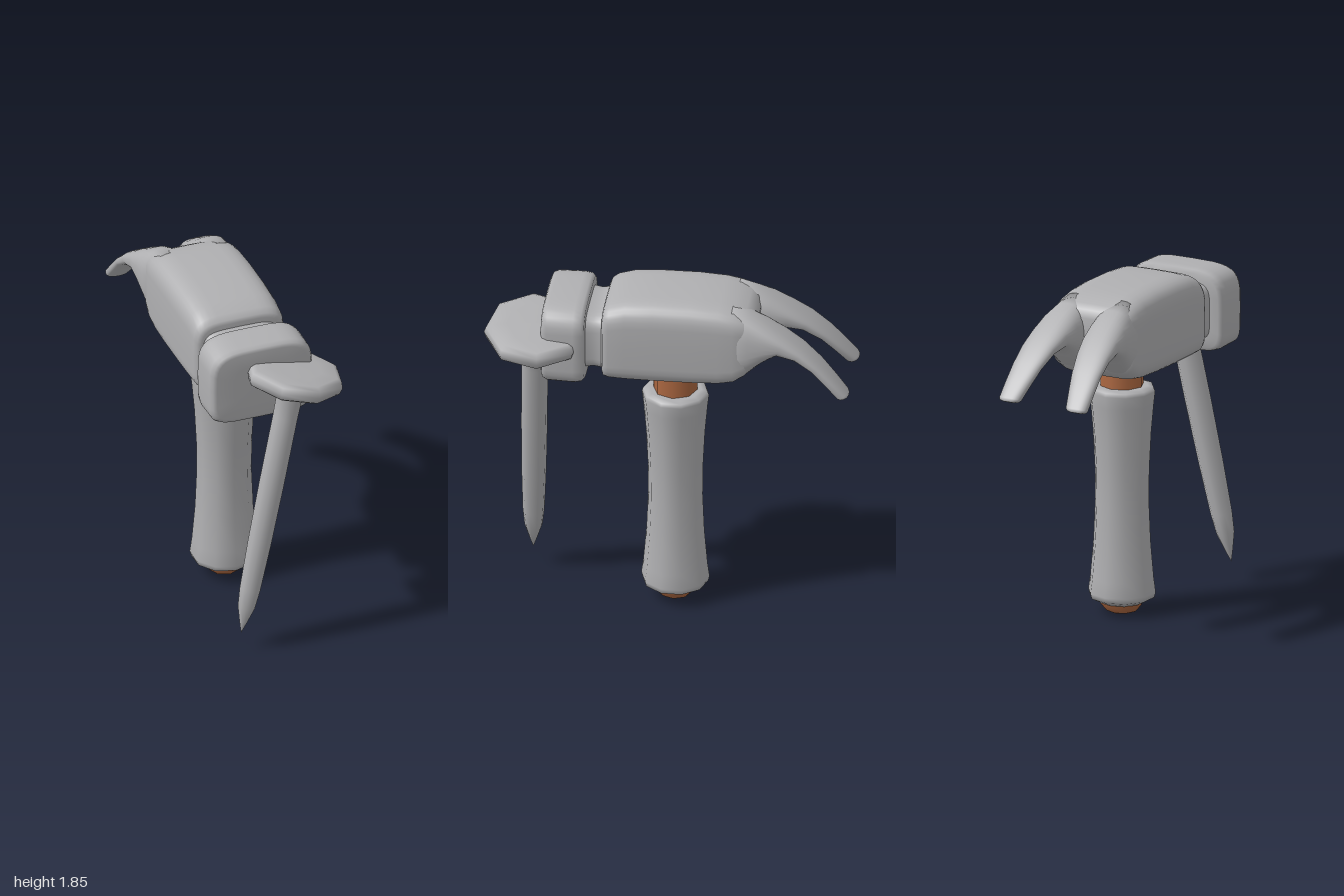
import * as THREE from 'three';

const steel = new THREE.MeshStandardMaterial({ color: 0xb0b0b2 });
steel.name = 'steel grey';
const wood = new THREE.MeshStandardMaterial({ color: 0xa8653f });
wood.name = 'brown wood';

const RING = 36;

// Loft of rounded-box sections, front to back.
// section: [centreX, halfWidth, zTop, yTop, zBottom, yBottom]
function loft(sections, topPower, bottomPower) {
  const pos = [], index = [];
  const spow = (v, n) => Math.sign(v) * Math.pow(Math.abs(v), 2 / n);
  for (const [cx, hw, zt, yt, zb, yb] of sections) {
    for (let j = 0; j < RING; j++) {
      const t = (j / RING) * Math.PI * 2;
      const n = Math.sin(t) > 0 ? topPower : bottomPower;
      const k = (spow(Math.sin(t), n) + 1) / 2;
      pos.push(cx + hw * spow(Math.cos(t), n), yb + (yt - yb) * k, zb + (zt - zb) * k);
    }
  }
  for (let i = 0; i < sections.length - 1; i++) {
    for (let j = 0; j < RING; j++) {
      const a = i * RING + j, b = i * RING + (j + 1) % RING;
      index.push(a, a + RING, b, b, a + RING, b + RING);
    }
  }
  // End caps
  const last = sections.length - 1;
  for (const i of [0, last]) {
    const [cx, , zt, yt, zb, yb] = sections[i];
    const c = pos.length / 3;
    pos.push(cx, (yt + yb) / 2, (zt + zb) / 2);
    for (let j = 0; j < RING; j++) {
      const a = i * RING + j, b = i * RING + (j + 1) % RING;
      if (i === 0) index.push(c, a, b); else index.push(c, b, a);
    }
  }
  const g = new THREE.BufferGeometry();
  g.setAttribute('position', new THREE.Float32BufferAttribute(pos, 3));
  g.setIndex(index);
  g.computeVertexNormals();
  return g;
}

// Upright sections: [z, halfWidth, yBottom, yTop]
const upright = (rows) => rows.map(([z, hw, yb, yt]) => [0, hw, z, yt, z, yb]);

function lathe(points, sides) {
  return new THREE.LatheGeometry(points.map(([r, y]) => new THREE.Vector2(r, y)), sides);
}

function add(parent, name, geometry, material) {
  const m = new THREE.Mesh(geometry, material);
  m.name = name;
  parent.add(m);
  return m;
}

export function createModel() {
  const model = new THREE.Group();
  model.name = 'hammerAndNail';

  // Hammer, turned slightly about its handle
  const hammer = new THREE.Group();
  hammer.name = 'hammer';
  hammer.position.set(0.045, 0, -0.015);
  hammer.rotation.y = THREE.MathUtils.degToRad(-9.5);
  model.add(hammer);

  // Wooden core, showing above and below the grip
  add(hammer, 'handleCore', lathe(
    [[0, 0.005], [0.075, 0.01], [0.085, 0.015], [0.118, 0.055], [0.118, 0.09], [0.118, 1.42], [0, 1.42]], 8), wood);
  // Grip with a narrow waist
  add(hammer, 'grip', lathe([
    [0, 0.06], [0.115, 0.06], [0.175, 0.09], [0.183, 0.12], [0.172, 0.2], [0.155, 0.4], [0.146, 0.62],
    [0.148, 0.8], [0.158, 1.0], [0.172, 1.16], [0.18, 1.23], [0.172, 1.25], [0.14, 1.26], [0, 1.255],
  ], 10), steel);

  const head = new THREE.Group();
  head.name = 'head';
  head.position.x = -0.05;
  hammer.add(head);

  // Striking face block
  add(head, 'strikingFace', loft(upright([
    [0.695, 0.15, 1.46, 1.69], [0.694, 0.26, 1.38, 1.77], [0.685, 0.28, 1.362, 1.788],
    [0.66, 0.292, 1.353, 1.797], [0.52, 0.294, 1.35, 1.8], [0.48, 0.288, 1.355, 1.795],
    [0.462, 0.27, 1.37, 1.78], [0.46, 0.2, 1.42, 1.72],
  ]), 4, 6), steel);
  // Neck between face and body
  add(head, 'neck', loft(upright([
    [0.5, 0.235, 1.41, 1.75], [0.46, 0.22, 1.42, 1.74], [0.42, 0.212, 1.425, 1.735],
    [0.385, 0.215, 1.42, 1.74], [0.33, 0.23, 1.41, 1.76],
  ]), 4.5, 6), steel);
  // Main body, closing where the claws split
  add(head, 'body', loft(upright([
    [0.375, 0.15, 1.45, 1.7], [0.374, 0.225, 1.4, 1.77], [0.365, 0.248, 1.385, 1.79],
    [0.335, 0.257, 1.378, 1.812], [0.25, 0.26, 1.375, 1.838], [0.1, 0.262, 1.375, 1.85],
    [-0.1, 0.262, 1.378, 1.853], [-0.25, 0.26, 1.385, 1.845], [-0.33, 0.256, 1.4, 1.83],
    [-0.39, 0.248, 1.44, 1.808], [-0.43, 0.225, 1.49, 1.785], [-0.445, 0.15, 1.56, 1.74],
  ]), 4.5, 6), steel);

  // Pair of curved claws
  for (const side of [-1, 1]) {
    const rows = [
      [0.138, 0.112, -0.32, 1.83, -0.3, 1.41],
      [0.138, 0.118, -0.42, 1.8, -0.4, 1.45],
      [0.147, 0.116, -0.5, 1.765, -0.48, 1.53],
      [0.155, 0.108, -0.6, 1.705, -0.56, 1.592],
      [0.167, 0.097, -0.7, 1.64, -0.655, 1.578],
      [0.18, 0.085, -0.8, 1.555, -0.75, 1.52],
      [0.193, 0.073, -0.88, 1.473, -0.825, 1.442],
      [0.204, 0.063, -0.945, 1.4, -0.885, 1.375],
      [0.206, 0.052, -0.952, 1.387, -0.9, 1.366],
      [0.206, 0.03, -0.944, 1.379, -0.912, 1.366],
    ].map(([x, ...rest]) => [side * x, ...rest]);
    add(head, side < 0 ? 'rightClaw' : 'leftClaw', loft(rows, 2.6, 2.6), steel);
  }

  // Leaning nail, its origin at the point
  const nail = new THREE.Group();
  nail.name = 'nail';
  nail.position.set(-0.295, 0.105, 0.73);
  nail.rotation.z = THREE.MathUtils.degToRad(-12.2);
  model.add(nail);
  add(nail, 'nailShaft', lathe([
    [0, 0], [0.022, 0.07], [0.048, 0.16], [0.058, 0.27], [0.066, 0.55], [0.07, 0.9],
    [0.07, 1.3], [0.073, 1.42], [0.1, 1.48], [0, 1.5],
  ], 10), steel);
  add(nail, 'nailHead', lathe([
    [0, 1.47], [0.12, 1.472], [0.225, 1.485], [0.262, 1.505], [0.272, 1.54],
    [0.262, 1.572], [0.235, 1.588], [0.15, 1.595], [0, 1.597],
  ], 8), steel);

  return model;
}
